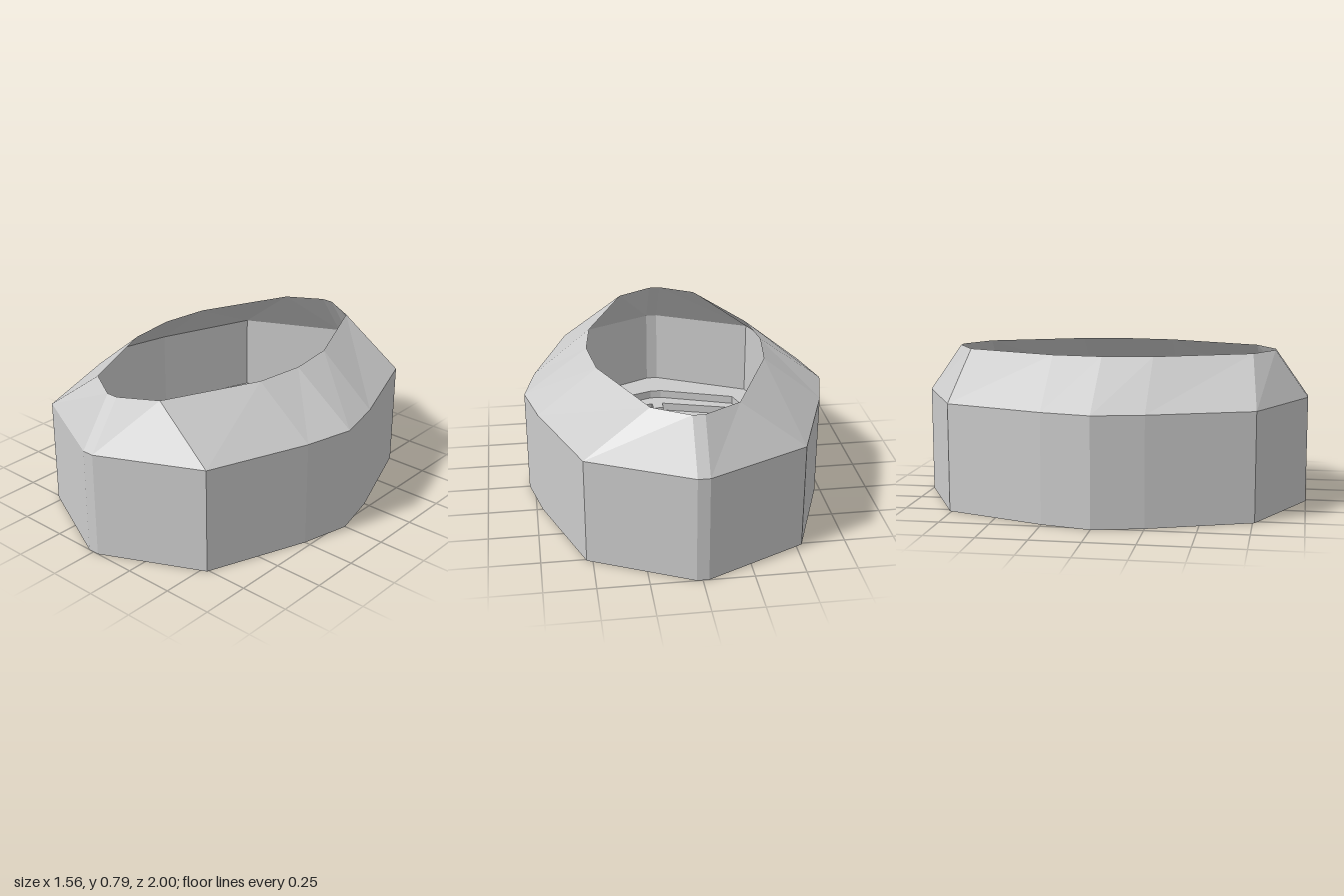
import * as THREE from 'three';

// Quarter outlines [x, z], from the front tip round to the side
const OUTER = [[0.03, 1], [0.53, 0.76], [0.72, 0.25], [0.78, 0]];
const OPENING = [[0.03, 0.83], [0.21, 0.725], [0.42, 0.25], [0.452, 0]];
const STEP_A = [[0.03, 0.81], [0.44, 0.67], [0.57, 0.25], [0.6, 0]];
const STEP_B = [[0.03, 0.73], [0.39, 0.625], [0.51, 0.25], [0.54, 0]];
const STEP_C = [[0.03, 0.67], [0.355, 0.58], [0.45, 0.25], [0.48, 0]];

// Mirror a quarter outline into a closed loop
function fullLoop(q) {
  const side = [...q, ...q.slice(0, -1).reverse().map(([x, z]) => [x, -z])];
  return [...side, ...side.slice().reverse().map(([x, z]) => [-x, z])];
}

// Skin a stack of [outline, y] sections; optionally close the last one
function loft(sections, capEnd) {
  const pos = [], index = [];
  const n = fullLoop(sections[0][0]).length;
  for (const [q, y] of sections) for (const [x, z] of fullLoop(q)) pos.push(x, y, z);
  for (let s = 0; s < sections.length - 1; s++) {
    for (let i = 0; i < n; i++) {
      const a = s * n + i, b = s * n + (i + 1) % n;
      index.push(a, b, b + n, a, b + n, a + n);
    }
  }
  if (capEnd) {
    const base = (sections.length - 1) * n;
    pos.push(0, sections[sections.length - 1][1], 0);
    for (let i = 0; i < n; i++) index.push(base + i, base + (i + 1) % n, base + n);
  }
  const g = new THREE.BufferGeometry();
  g.setAttribute('position', new THREE.Float32BufferAttribute(pos, 3));
  g.setIndex(index);
  g.computeVertexNormals();
  return g;
}

export function createModel() {
  const group = new THREE.Group();
  const material = new THREE.MeshStandardMaterial({
    color: 0xcccccc, flatShading: true, side: THREE.DoubleSide,
  });
  const add = (name, geometry) => {
    const mesh = new THREE.Mesh(geometry, material);
    mesh.name = name;
    group.add(mesh);
    return mesh;
  };

  // Thin outer wall with sloped shoulder and open top
  add('shell', loft([[OUTER, 0], [OUTER, 0.545], [OPENING, 0.785]], false));

  // Floor stepping down to the central plate
  add('steppedFloor', loft([
    [OUTER, 0.135], [STEP_A, 0.135], [STEP_A, 0.09], [STEP_B, 0.09],
    [STEP_B, 0.045], [STEP_C, 0.045], [STEP_C, 0.003],
  ], true));

  // Small tabs bridging the steps at the tips and sides
  for (const s of [-1, 1]) {
    add('tipTab', new THREE.BoxGeometry(0.06, 0.087, 0.14)).position.set(0, 0.0465, s * 0.74);
    add('sideTab', new THREE.BoxGeometry(0.165, 0.087, 0.06)).position.set(s * 0.5175, 0.0465, 0);
  }
  return group;
}
